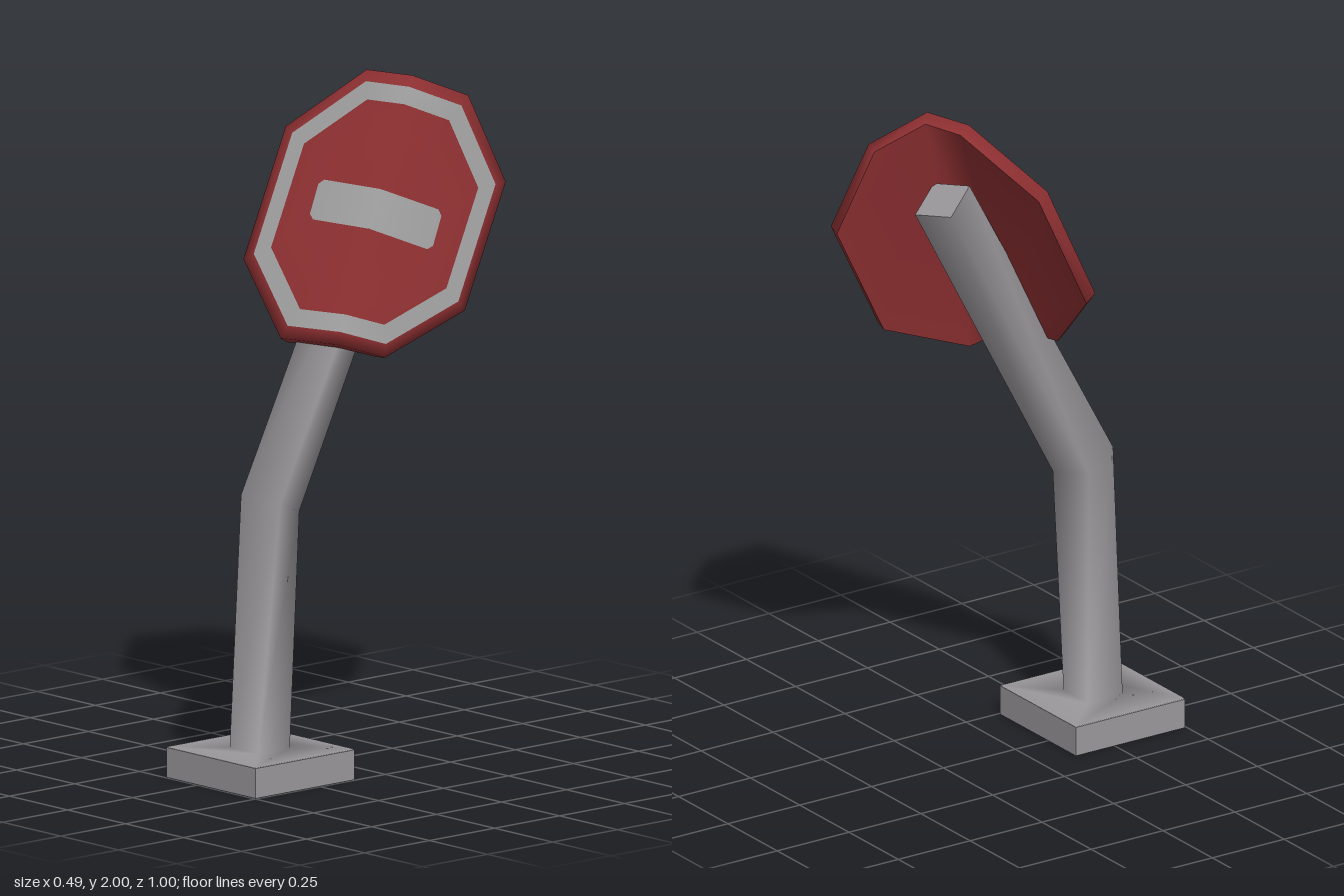
import * as THREE from 'three';

const V = (x, y, z) => new THREE.Vector3(x, y, z);
const mat = (name, color) => {
  const m = new THREE.MeshStandardMaterial({ color });
  m.name = name;
  return m;
};

// Collects vertices and triangles; shared vertices give smooth shading
function builder() {
  const pos = [], idx = [];
  return {
    ring(points) {
      return points.map((p) => { pos.push(p.x, p.y, p.z); return pos.length / 3 - 1; });
    },
    // closed strip between two loops (a outside or below, b inside or above)
    band(a, b) {
      a.forEach((_, i) => {
        const j = (i + 1) % a.length;
        idx.push(a[i], a[j], b[j], a[i], b[j], b[i]);
      });
    },
    fan(r) {
      for (let i = 1; i < r.length - 1; i++) idx.push(r[0], r[i], r[i + 1]);
    },
    mesh(name, material) {
      const g = new THREE.BufferGeometry();
      g.setAttribute('position', new THREE.Float32BufferAttribute(pos, 3));
      g.setIndex(idx);
      g.computeVertexNormals();
      const m = new THREE.Mesh(g, material);
      m.name = name;
      return m;
    },
  };
}

// The sign plate is a flat outline folded along a crease at u = 0
const centre = V(0.1425, 1.635, -0.055);
const up = V(-0.08, 0.9, -0.43).normalize();
const leftU = V(0.963, -0.026, -0.27).normalize();
const rightU = V(0.245, -0.386, -0.888).normalize();
const leftN = leftU.clone().cross(up).normalize();
const rightN = rightU.clone().cross(up).normalize();
const creaseN = leftN.clone().add(rightN).divideScalar(1 + leftN.dot(rightN));

function fold(u, v, w) {
  const n = u === 0 ? creaseN : u < 0 ? leftN : rightN;
  return centre.clone().addScaledVector(up, v)
    .addScaledVector(u < 0 ? leftU : rightU, u).addScaledVector(n, w);
}

// Octagon plus the two crease points (index 0 and 5), counter-clockwise
const outline = [
  [0, 0.405], [-0.16, 0.4], [-0.372, 0.198], [-0.388, -0.205], [-0.195, -0.415],
  [0, -0.407], [0.17, -0.395], [0.38, -0.19], [0.395, 0.203], [0.2, 0.404],
];
const loop = (s, w) => outline.map(([u, v]) => fold(u * s, v * s, w));
const halves = (r) => [r.slice(0, 6), [...r.slice(5), r[0]]];

export function createModel() {
  const metal = mat('post grey', 0x9a979a);
  const red = mat('sign red', 0x8f3032);
  const white = mat('marking grey', 0xa0a0a0);
  const group = new THREE.Group();
  group.name = 'bentRoadSign';

  // Base slab
  const base = new THREE.Mesh(new THREE.BoxGeometry(0.385, 0.088, 0.38), metal);
  base.name = 'base';
  base.position.set(0.0525, 0.044, 0.305);
  group.add(base);

  // Bent, twisted square post that flows out of the top of the base
  const square = (c, x, z, h) => [[1, 1], [1, -1], [-1, -1], [-1, 1]].map(([a, b]) =>
    c.clone().addScaledVector(x, a * h).addScaledVector(z, b * h));
  const X = V(1, 0, 0), Z = V(0, 0, 1);
  const bend = V(0.0725, 0.81, 0.285), end = V(0.02, 1.75, -0.24);
  const axis = end.clone().sub(bend).normalize();
  const bendX = V(0.927, -0.139, -0.375), bendZ = V(0.375, 0.343, 0.927);
  const endZ = V(0.375, 0, 0.927);
  endZ.addScaledVector(axis, -endZ.dot(axis)).normalize();
  const endX = axis.clone().cross(endZ);
  const post = builder();
  const rings = [
    square(V(0.0525, 0.09, 0.305), X, Z, 0.191),
    square(V(0.05, 0.09, 0.305), X, Z, 0.061),
    square(bend, bendX, bendZ, 0.0625),
    square(end, endX, endZ, 0.0625),
  ].map((r) => post.ring(r));
  for (let i = 0; i < 3; i++) post.band(rings[i], rings[i + 1]);
  post.fan(post.ring(square(end, endX, endZ, 0.0625)));
  group.add(post.mesh('post', metal));

  // Sign: back, rim and bevelled front border
  const sign = new THREE.Group();
  sign.name = 'sign';
  group.add(sign);
  const shell = builder();
  const back = shell.ring(loop(1, -0.054));
  const rim = shell.ring(loop(1, -0.01));
  shell.band(back, rim);
  shell.band(rim, shell.ring(loop(0.91, 0)));
  for (const h of halves(shell.ring(loop(1, -0.054)))) shell.fan(h.reverse());
  sign.add(shell.mesh('signShell', red));

  // Red centre field
  const field = builder();
  for (const h of halves(field.ring(loop(0.78, 0)))) field.fan(h);
  sign.add(field.mesh('signField', red));

  // Pale octagonal border
  const border = builder();
  border.band(border.ring(loop(0.91, 0)), border.ring(loop(0.78, 0)));
  sign.add(border.mesh('signBorder', white));

  // Pale centre bar with clipped corners, folded with the plate
  const bar = builder();
  const barLoop = [
    [0, 0.06], [-0.19, 0.06], [-0.205, 0.045], [-0.205, -0.045], [-0.19, -0.06],
    [0, -0.06], [0.2, -0.06], [0.215, -0.045], [0.215, 0.045], [0.2, 0.06],
  ].map(([u, v]) => fold(u, v, 0.003));
  for (const h of halves(bar.ring(barLoop))) bar.fan(h);
  sign.add(bar.mesh('signBar', white));

  return group;
}
